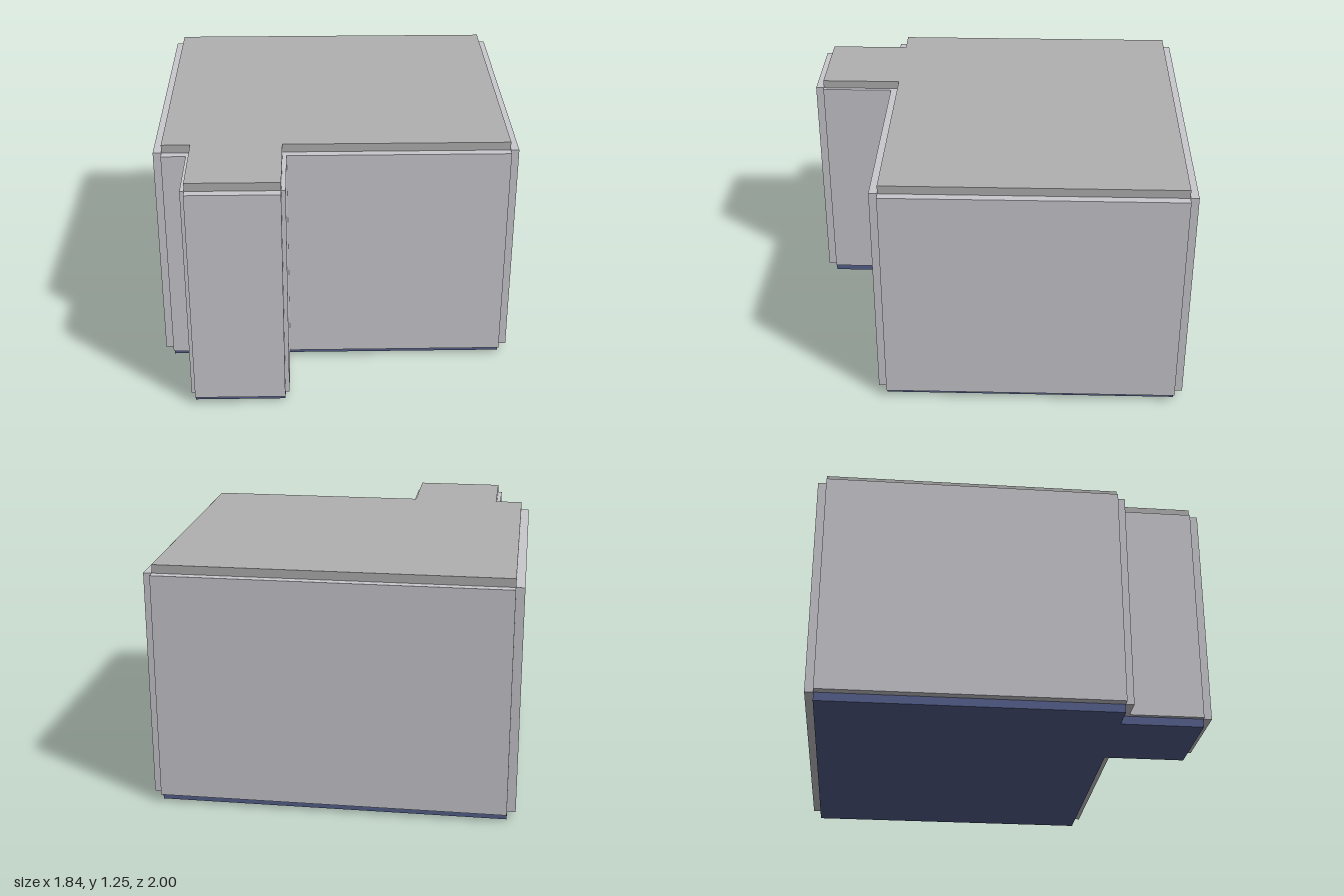
import * as THREE from 'three';

// Floor plan outline as [x, z] corners: a main room with a narrow entry at the front
const plan = [
  [-0.875, -0.957], [0.875, -0.957], [0.875, 0.54], [-0.27, 0.54],
  [-0.27, 0.957], [-0.73, 0.957], [-0.73, 0.54], [-0.875, 0.54],
];
const FLOOR_TOP = 0.043, WALL_TOP = 1.207, CEILING_TOP = 1.25;
const WALL = 0.043, THIN_WALL = 0.021;

function material(color) {
  return new THREE.MeshStandardMaterial({ color, flatShading: true });
}

// Horizontal slab covering the whole plan
function slab(name, y0, y1, mat) {
  const shape = new THREE.Shape(plan.map(([x, z]) => new THREE.Vector2(x, -z)));
  const geo = new THREE.ExtrudeGeometry(shape, { depth: y1 - y0, bevelEnabled: false });
  geo.rotateX(-Math.PI / 2).translate(0, y0, 0);
  const mesh = new THREE.Mesh(geo, mat);
  mesh.name = name;
  return mesh;
}

// Upright wall standing just outside one edge of the plan
function wall(name, [ax, az], [bx, bz], thickness, mat) {
  const length = Math.hypot(bx - ax, bz - az);
  const nx = (bz - az) / length, nz = -(bx - ax) / length; // outward direction
  const geo = new THREE.BoxGeometry(
    Math.abs(bx - ax) + Math.abs(nx) * thickness,
    WALL_TOP - FLOOR_TOP,
    Math.abs(bz - az) + Math.abs(nz) * thickness,
  );
  const mesh = new THREE.Mesh(geo, mat);
  mesh.position.set(
    (ax + bx) / 2 + nx * thickness / 2,
    (FLOOR_TOP + WALL_TOP) / 2,
    (az + bz) / 2 + nz * thickness / 2,
  );
  mesh.name = name;
  return mesh;
}

export function createModel() {
  const group = new THREE.Group();
  group.name = 'room';

  group.add(slab('floor', 0, FLOOR_TOP, material(0x56618d)));
  group.add(slab('ceiling', WALL_TOP, CEILING_TOP, material(0xb0b0b0)));

  // One wall per plan edge; the two entry sides are thinner
  const wallMaterial = material(0xc9c8ce);
  const names = ['backWall', 'leftWall', 'frontWallLeft', 'entryWallLeft',
    'entryFrontWall', 'entryWallRight', 'frontWallRight', 'rightWall'];
  names.forEach((name, i) => {
    const thickness = name.startsWith('entryWall') ? THIN_WALL : WALL;
    group.add(wall(name, plan[i], plan[(i + 1) % plan.length], thickness, wallMaterial));
  });

  return group;
}
